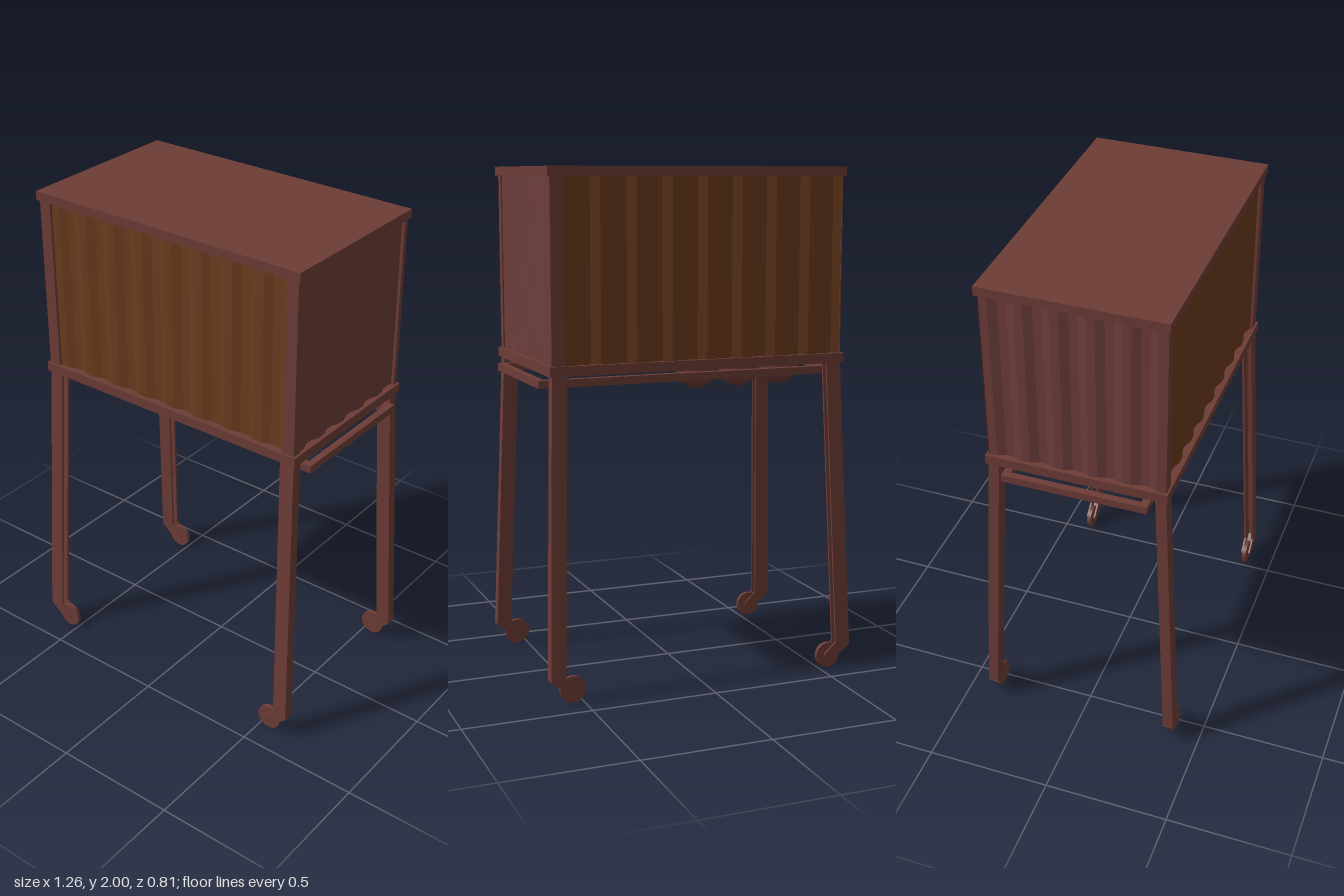
import * as THREE from 'three';

const material = (name, color, side = THREE.FrontSide) => {
  const m = new THREE.MeshStandardMaterial({ color, side });
  m.name = name;
  return m;
};

export function createModel() {
  const root = new THREE.Group();
  root.name = 'cabinetOnLegs';
  const red = material('redBrown', 0x6d3c36);
  const brown = material('woodBrown', 0x6b3b1f);
  const brownSheet = brown;
  const rose = material('roseBrown', 0x6d3d3a);
  brown.side = rose.side = THREE.DoubleSide;

  const add = (name, geometry, mat, parent = root) => {
    const mesh = new THREE.Mesh(geometry, mat);
    mesh.name = name;
    parent.add(mesh);
    return mesh;
  };
  // box given by its limits
  const boxGeo = (x0, x1, y0, y1, z0, z1) =>
    new THREE.BoxGeometry(Math.abs(x1 - x0), y1 - y0, Math.abs(z1 - z0))
      .translate((x0 + x1) / 2, (y0 + y1) / 2, (z0 + z1) / 2);
  const box = (name, mat, ...limits) => add(name, boxGeo(...limits), mat);

  // cabinet slabs
  box('topSlab', red, -0.605, 0.605, 1.965, 2, -0.355, 0.355);
  box('bottomSlab', red, -0.605, 0.605, 1.237, 1.275, -0.355, 0.355);

  // corner posts
  for (const s of [-1, 1]) box('frontPost', red, s * 0.545, s * 0.595, 1.275, 1.965, 0.31, 0.347);
  box('backPost', red, 0.545, 0.595, 1.275, 1.965, -0.347, -0.327);

  // corrugated sheet, facing +z, then turned and placed
  const corrugated = (width, waves) => {
    const g = new THREE.PlaneGeometry(width, 0.69, waves * 4, 1);
    const p = g.attributes.position;
    for (let i = 0; i < p.count; i++) {
      const step = i % (waves * 4 + 1);
      p.setZ(i, [1, 1, -1, -1][step % 4] * 0.006);
    }
    const flat = g.toNonIndexed();
    flat.computeVertexNormals();
    return flat;
  };
  const panel = (name, mat, width, waves, x, z, turn) => {
    const m = add(name, corrugated(width, waves), mat);
    m.position.set(x, 1.62, z);
    m.rotation.y = turn;
  };
  panel('frontPanel', brownSheet, 1.09, 8, 0, 0.33, 0);
  panel('backPanel', brownSheet, 1.14, 8, -0.025, -0.338, Math.PI);
  panel('rightPanel', rose, 0.655, 5, 0.584, -0.017, Math.PI / 2);
  panel('leftPanel', rose, 0.655, 5, -0.584, -0.017, -Math.PI / 2);

  // rail frame under the cabinet
  for (const s of [-1, 1]) {
    box('longRail', red, -0.625, 0.625, 1.187, 1.217, s * 0.255, s * 0.285);
    box('sideRail', red, s * 0.6, s * 0.628, 1.187, 1.217, -0.285, 0.285);
  }
  box('hangingBoard', brown, -0.52, 0.07, 1.175, 1.24, 0.215, 0.25);

  // three hanging bowls
  for (const x of [-0.425, -0.245, -0.065]) {
    const profile = [new THREE.Vector2(0.0001, 1.135)];
    for (let i = 1; i <= 10; i++) {
      const a = (i / 10) * Math.PI / 2;
      profile.push(new THREE.Vector2(0.08 * Math.sin(a), 1.215 - 0.08 * Math.cos(a)));
    }
    const bowl = add('bowl', new THREE.LatheGeometry(profile, 28), red);
    bowl.position.set(x, 0, -0.138);
    const lid = add('bowlLid', new THREE.CylinderGeometry(0.08, 0.08, 0.004, 28), red);
    lid.position.set(x, 1.217, -0.138);
  }

  // splayed channel legs with casters
  for (const sx of [-1, 1]) for (const sz of [-1, 1]) {
    const leg = new THREE.Group();
    leg.name = (sz > 0 ? 'front' : 'back') + (sx > 0 ? 'Left' : 'Right') + 'Leg';
    root.add(leg);

    const splayed = (name, x0, x1, z0, z1) => {
      const g = boxGeo(sx * x0, sx * x1, 0.09, 1.24, sz * z0, sz * z1);
      const p = g.attributes.position;
      for (let i = 0; i < p.count; i++) {
        const drop = 1.24 - p.getY(i);
        p.setX(i, p.getX(i) + sx * 0.031 * drop);
        p.setZ(i, p.getZ(i) + sz * 0.05 * drop);
      }
      g.computeVertexNormals();
      add(name, g, red, leg);
    };
    splayed('legWeb', 0.585, 0.595, 0.305, 0.347);
    splayed('legOuterFlange', 0.535, 0.595, 0.338, 0.347);
    splayed('legInnerFlange', 0.535, 0.595, 0.305, 0.314);

    // fork plates and the slanted web between them
    const plate = (name, pts, z0, z1) => {
      const shape = new THREE.Shape(pts.map(([x, y]) => new THREE.Vector2(sx * x, y)));
      const g = new THREE.ExtrudeGeometry(shape, { depth: z1 - z0, bevelEnabled: false });
      g.translate(0, 0, sz > 0 ? z0 : -z1);
      add(name, g, red, leg);
    };
    const fork = [[0.631, 0.092], [0.575, 0.045], [0.522, 0.05], [0.522, 0.06], [0.571, 0.105]];
    plate('forkPlate', fork, 0.363, 0.371);
    plate('forkPlate', fork, 0.396, 0.404);
    plate('forkWeb', [[0.631, 0.092], [0.575, 0.045], [0.568, 0.052], [0.621, 0.098]], 0.363, 0.404);

    const wheel = add('wheel', new THREE.CylinderGeometry(0.051, 0.051, 0.017, 28), red, leg);
    const axle = add('axle', new THREE.CylinderGeometry(0.006, 0.006, 0.036, 10), red, leg);
    for (const part of [wheel, axle]) {
      part.rotation.x = Math.PI / 2;
      part.position.set(sx * 0.541, 0.051, sz * 0.383);
    }
  }
  return root;
}
